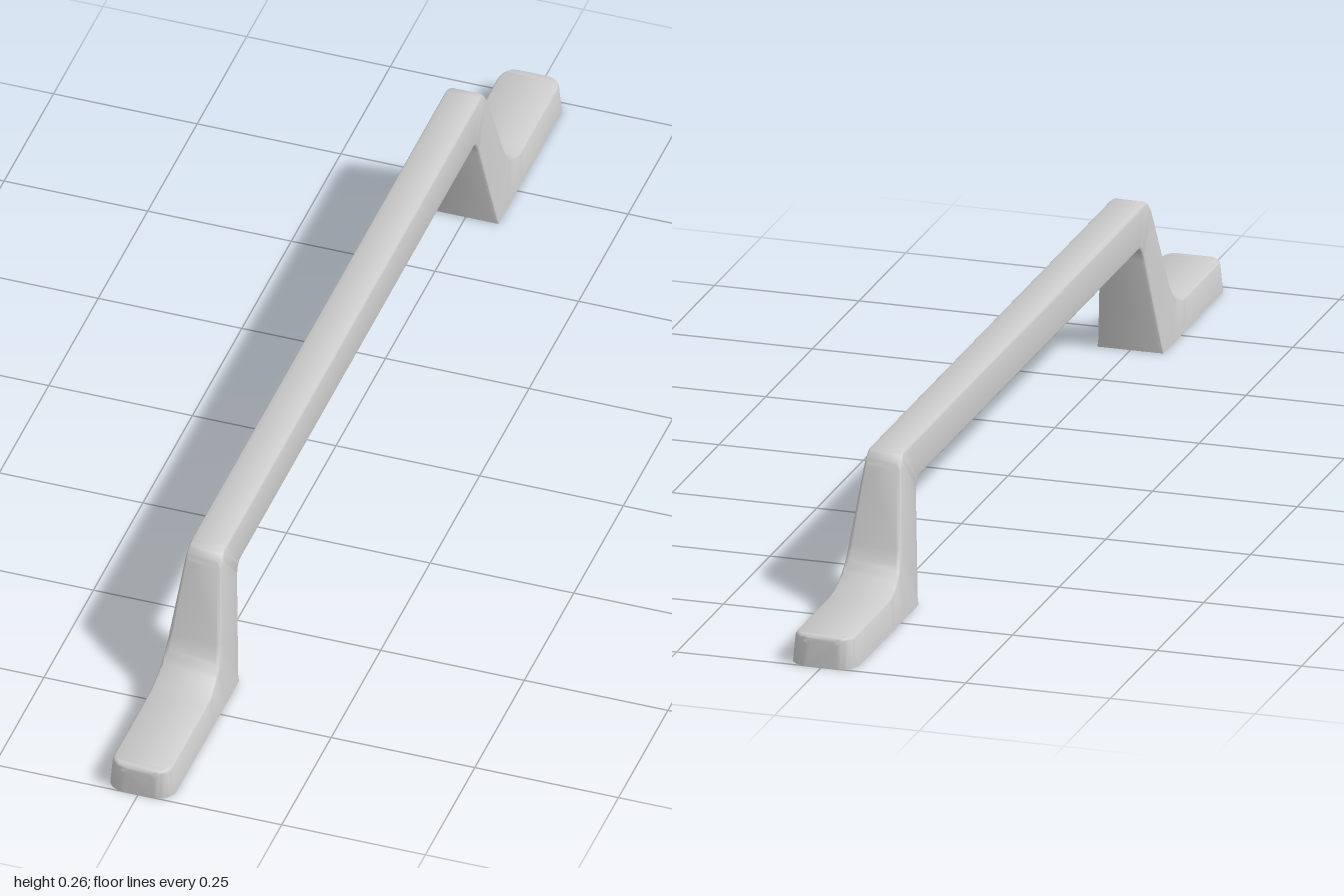
import * as THREE from 'three';
import { toCreasedNormals } from 'three/addons/utils/BufferGeometryUtils.js';

const FOOT = 0.053;                          // foot thickness
const TOP_R = 0.008, UNDER_R = 0.006;        // edge rounding
const halfWidth = (y) => 0.057 - 0.1 * y;    // sides lean inwards with height

// Points along a quadratic bend, each [z, y]
function bend(a, b, c, n) {
  const v = (p) => new THREE.Vector2(...p);
  return new THREE.QuadraticBezierCurve(v(a), v(b), v(c)).getPoints(n).map((p) => [p.x, p.y]);
}

// Cross-sections of one half, from the toe up to the bar.
// Each pairs an underside point with a top point; inset narrows the toe.
function halfSections() {
  const list = [];
  const add = (under, top, underR, inset = 0) => list.push({ under, top, underR, inset });

  // Toe with rounded vertical corners and a softened top edge
  const cornerR = 0.03;
  for (let i = 8; i >= 0; i--) {
    const a = (i / 8) * Math.PI / 2;
    const z = 1 - cornerR + cornerR * Math.sin(a);
    const k = Math.max(0, (z - 1 + TOP_R) / TOP_R);
    const drop = TOP_R * (1 - Math.sqrt(Math.max(0, 1 - k * k)));
    add([z, 0], [z, FOOT - drop], 0, cornerR * (1 - Math.cos(a)));
  }

  // Hollow bend from the foot into the leg
  const hollow = bend([0.81, FOOT], [0.736, FOOT], [0.715, 0.115], 10);
  hollow.forEach((p, i) => add([0.81 - 0.155 * i / 10, 0], p, 0));

  // Leg
  add([0.653, 0.008], [0.7135, 0.12], UNDER_R);

  // Shoulder into the bar
  const outer = bend([0.673, 0.238], [0.663, 0.265], [0.64, 0.265], 8);
  const inner = bend([0.61, 0.175], [0.603, 0.2], [0.585, 0.2], 8);
  outer.forEach((p, i) => add(inner[i], p, UNDER_R));
  return list;
}

// Closed ring of one section: right side up, over the top, left side down
function ring({ under, top, underR, inset }) {
  const u = new THREE.Vector2(...under), t = new THREE.Vector2(...top);
  const length = u.distanceTo(t), steps = 4, right = [];
  const point = (d, cut) => {
    const p = u.clone().lerp(t, d / length);
    right.push([halfWidth(p.y) - inset - cut, p.y, p.x]);
  };
  for (let i = 0; i <= steps; i++) {
    const a = (1 - i / steps) * Math.PI / 2;
    point(underR * (1 - Math.sin(a)), underR * (1 - Math.cos(a)));
  }
  for (let i = 0; i <= steps; i++) {
    const a = (i / steps) * Math.PI / 2;
    point(length - TOP_R * (1 - Math.sin(a)), TOP_R * (1 - Math.cos(a)));
  }
  return [...right, ...right.map(([x, y, z]) => [-x, y, z]).reverse()];
}

// Skin the rings and cap both ends
function skin(rings) {
  const n = rings[0].length, index = [];
  for (let i = 0; i < rings.length - 1; i++) {
    for (let j = 0; j < n; j++) {
      const k = (j + 1) % n;
      const a = i * n + j, b = i * n + k, c = b + n, d = a + n;
      index.push(a, d, c, a, c, b);
    }
  }
  const last = (rings.length - 1) * n;
  for (let j = 1; j < n - 1; j++) {
    index.push(0, j, j + 1, last, last + j + 1, last + j);
  }
  const geometry = new THREE.BufferGeometry();
  geometry.setAttribute('position', new THREE.Float32BufferAttribute(rings.flat(2), 3));
  geometry.setIndex(index);
  return toCreasedNormals(geometry, 0.65);
}

export function createModel() {
  const group = new THREE.Group();
  group.name = 'pullHandle';

  // One continuous body: foot, leg, bar, leg, foot
  const half = halfSections().map(ring);
  const mirrored = half.map((r) => r.map(([x, y, z]) => [x, y, -z])).reverse();
  const body = new THREE.Mesh(
    skin([...half, ...mirrored]),
    new THREE.MeshStandardMaterial({ color: 0xcccccc })
  );
  body.name = 'handleBody';
  group.add(body);
  return group;
}
